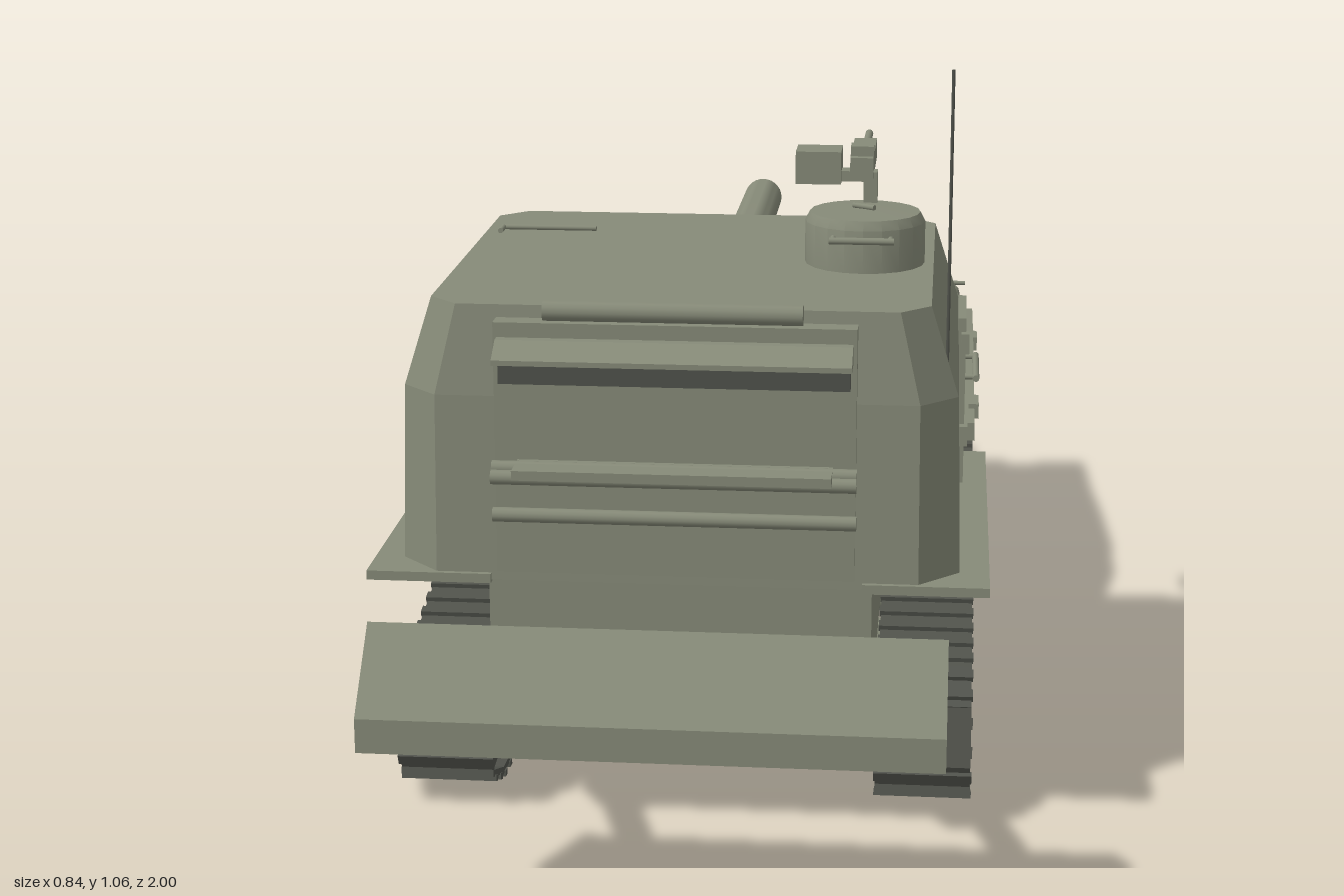
import * as THREE from 'three';
import { mergeGeometries, toCreasedNormals } from 'three/addons/utils/BufferGeometryUtils.js';

const paint = new THREE.MeshStandardMaterial({ color: 0x868a78 });
const dark = new THREE.MeshStandardMaterial({ color: 0x50524b });
const V = (x, y, z) => new THREE.Vector3(x, y, z);

export function createModel() {
  const root = new THREE.Group();
  const add = (name, geo, mat = paint, parent = root) => {
    const m = new THREE.Mesh(geo, mat);
    m.name = name;
    parent.add(m);
    return m;
  };
  // box given by its limits on each axis
  const box = (name, x0, x1, y0, y1, z0, z1, mat) =>
    add(name, new THREE.BoxGeometry(x1 - x0, y1 - y0, z1 - z0)
      .translate((x0 + x1) / 2, (y0 + y1) / 2, (z0 + z1) / 2), mat);
  // round bar between two points
  const rod = (name, a, b, r, mat, sides = 12) => {
    const d = b.clone().sub(a);
    const m = add(name, new THREE.CylinderGeometry(r, r, d.length(), sides), mat);
    m.position.copy(a).add(b).multiplyScalar(0.5);
    m.quaternion.setFromUnitVectors(V(0, 1, 0), d.normalize());
    return m;
  };
  // side profile of [z, y] points, extruded from x0 to x1
  const slab = (name, pts, x0, x1, mat) => {
    const g = new THREE.ExtrudeGeometry(new THREE.Shape(pts.map(p => new THREE.Vector2(...p))),
      { depth: x1 - x0, bevelEnabled: false });
    return add(name, g.rotateY(-Math.PI / 2).translate(x1, 0, 0), mat);
  };
  // closed body through chamfered rectangles [y, halfWidth, zFront, zRear, chamfer]
  const loft = (name, levels) => {
    const rings = levels.map(([y, x, f, r, c]) => [[x, r - c], [x, f + c], [x - c, f], [c - x, f],
      [-x, f + c], [-x, r - c], [c - x, r], [x - c, r]].map(([px, pz]) => V(px, y, pz)));
    const tri = [];
    for (let k = 0; k + 1 < rings.length; k++) {
      for (let i = 0; i < 8; i++) {
        const j = (i + 1) % 8, lo = rings[k], hi = rings[k + 1];
        tri.push(lo[i], lo[j], hi[j], lo[i], hi[j], hi[i]);
      }
    }
    const top = rings[rings.length - 1], bot = rings[0];
    for (let i = 1; i < 7; i++) tri.push(top[0], top[i], top[i + 1], bot[0], bot[i + 1], bot[i]);
    const g = new THREE.BufferGeometry().setFromPoints(tri);
    g.computeVertexNormals();
    return add(name, g);
  };
  const lathe = (pts, sides = 28) => toCreasedNormals(
    new THREE.LatheGeometry(pts.map(p => new THREE.Vector2(...p)), sides), 0.5);

  // hull
  slab('hull', [[0.62, 0.375], [0.62, 0.2], [0.6, 0.17], [-0.88, 0.17], [-0.94, 0.22], [-0.965, 0.39],
    [-0.93, 0.41], [-0.5, 0.455], [-0.27, 0.455], [-0.06, 0.375]], -0.262, 0.262);
  loft('hullBottom', [[0.125, 0.215, -0.66, 0.56, 0.01], [0.172, 0.25, -0.88, 0.6, 0.01]]);
  box('rearHullPanel', -0.21, 0.21, 0.13, 0.21, 0.56, 0.625, dark);

  // engine deck with hatches and grilles
  slab('engineCover', [[-0.3, 0.45], [-0.72, 0.425], [-0.71, 0.45], [-0.46, 0.475], [-0.3, 0.47]], -0.12, 0.12);
  slab('centreHatch', [[-0.45, 0.46], [-0.65, 0.45], [-0.65, 0.465], [-0.45, 0.484]], -0.115, 0.115);
  for (const s of [-1, 1]) {
    const cx = s * 0.205;
    slab('deckPanel', [[-0.28, 0.45], [-0.72, 0.42], [-0.72, 0.438], [-0.5, 0.467], [-0.28, 0.467]],
      cx - 0.065, cx + 0.065);
    for (let i = 0; i < 10; i++) {
      const z = -0.42 - i * 0.02, y = z > -0.5 ? 0.47 : 0.47 + (z + 0.5) * 0.12;
      box('grilleSlat', cx - 0.055, cx + 0.055, y - 0.006, y + 0.005, z - 0.005, z + 0.005, dark);
    }
    rod('deckRail', V(s * 0.235, 0.485, -0.3), V(s * 0.235, 0.485, -0.41), 0.004);
    slab('frontDeckPanel', [[-0.74, 0.42], [-0.92, 0.405], [-0.92, 0.418], [-0.74, 0.437]],
      s * 0.165 - 0.05, s * 0.165 + 0.05);
  }

  // fenders, stowage boxes and lamps
  for (const s of [-1, 1]) {
    const span = (a, b) => (s > 0 ? [a, b] : [-b, -a]);
    box('rearFender', ...span(0.25, 0.42), 0.372, 0.385, 0.035, 0.675);
    slab('frontFender', [[-0.16, 0.345], [-0.97, 0.345], [-0.97, 0.375], [-0.72, 0.39], [-0.16, 0.375]],
      ...span(0.27, 0.405));
    slab('stowageBox', [[-0.05, 0.372], [-0.72, 0.372], [-0.725, 0.425], [-0.45, 0.448], [-0.27, 0.44]],
      ...span(0.262, 0.385));
    slab('fenderNose', [[-0.74, 0.38], [-0.965, 0.37], [-0.965, 0.395], [-0.74, 0.412]], ...span(0.28, 0.39));
    rod('towBar', V(s * 0.33, 0.455, -0.3), V(s * 0.33, 0.44, -0.66), 0.007);
    box('fenderBracket', ...span(0.395, 0.412), 0.36, 0.385, -0.75, -0.7);
    box('fenderBracket', ...span(0.395, 0.412), 0.36, 0.385, -0.3, -0.24);
    for (const x of [0.31, 0.36]) {
      rod('headlamp', V(s * x, 0.405, -0.92), V(s * x, 0.405, -0.968), 0.02);
    }
    rod('lampGuard', V(s * 0.28, 0.43, -0.95), V(s * 0.39, 0.43, -0.95), 0.004);
  }

  // nose plate and travel-lock frame
  box('noseRail', -0.22, 0.22, 0.375, 0.41, -0.97, -0.945, dark);
  for (const s of [-1, 1]) {
    rod('noseFrameBar', V(s * 0.07, 0.4, -0.99), V(s * 0.07, 0.2, -0.95), 0.008);
    rod('noseFrameStay', V(s * 0.07, 0.4, -0.99), V(s * 0.07, 0.4, -0.95), 0.007);
  }
  rod('noseFrameTop', V(-0.075, 0.4, -0.99), V(0.075, 0.4, -0.99), 0.009);

  // tracks: shoes spaced along a closed path in z, y
  const loop = [[0.33, 0.014], [-0.62, 0.014], [-0.71, 0.04], [-0.92, 0.195], [-0.948, 0.26], [-0.925, 0.315],
    [-0.86, 0.336], [-0.5, 0.328], [-0.1, 0.305], [0.1, 0.284], [0.5, 0.2], [0.575, 0.17], [0.598, 0.11],
    [0.57, 0.05], [0.5, 0.024]];
  const path = new THREE.CurvePath();
  loop.forEach((p, i) => {
    const q = loop[(i + 1) % loop.length];
    path.add(new THREE.LineCurve3(V(0, p[1], p[0]), V(0, q[1], q[0])));
  });
  const count = 84, pitch = path.getLength() / count, shoes = [];
  for (let i = 0; i < count; i++) {
    const p = path.getPointAt(i / count), t = path.getTangentAt(i / count);
    for (const [w, h, l, off] of [[0.132, 0.01, pitch * 1.08, 0], [0.136, 0.009, pitch * 0.4, -0.007]]) {
      shoes.push(new THREE.BoxGeometry(w, h, l).translate(0, off, 0)
        .rotateX(Math.atan2(t.y, -t.z)).translate(0, p.y, p.z));
    }
  }
  const trackGeo = mergeGeometries(shoes);

  // double wheel, axis along y, outer face at +y
  const wheelGeo = R => lathe([[0, -0.055], [R * 0.86, -0.055], [R * 0.86, -0.012], [R * 0.5, -0.012],
    [R * 0.5, 0.012], [R * 0.86, 0.012], [R * 0.86, 0.05], [R * 0.76, 0.038], [R * 0.45, 0.034],
    [R * 0.4, 0.052], [R * 0.25, 0.052], [R * 0.22, 0.064], [0, 0.064]]);
  const tyreGeo = (R, y) => lathe([[R * 0.83, y - 0.021], [R, y - 0.021], [R, y + 0.021],
    [R * 0.83, y + 0.021], [R * 0.83, y - 0.021]]);
  const wheels = [0.51, 0.32, 0.135, -0.052, -0.24, -0.43, -0.62].map(z => ['roadWheel', z, 0.113, 0.078]);
  wheels.push(['driveSprocket', -0.865, 0.26, 0.074],
    ...[[0.04, 0.254], [-0.145, 0.26], [-0.52, 0.274]].map(([z, y]) => ['returnRoller', z, y, 0.038]));
  for (const s of [-1, 1]) {
    add('track', trackGeo, dark).position.x = s * 0.335;
    for (const [name, z, y, R] of wheels) {
      const g = new THREE.Group();
      g.name = name;
      g.position.set(s * 0.335, y, z);
      g.rotation.z = -s * Math.PI / 2;
      add(name + 'Disc', wheelGeo(R), paint, g);
      for (const o of [-0.034, 0.034]) add(name + 'Rim', tyreGeo(R, o), dark, g);
      root.add(g);
      rod('axle', V(s * 0.24, y, z), V(s * 0.33, y, z), R * 0.35);
    }
  }

  // turret house with sloped front and bevelled shoulders
  loft('turret', [[0.375, 0.38, -0.08, 0.668, 0.055], [0.63, 0.373, -0.014, 0.66, 0.05],
    [0.752, 0.335, 0.018, 0.645, 0.04]]);
  for (const s of [-1, 1]) {
    box('sideDoor', s * 0.378 - 0.006, s * 0.378 + 0.006, 0.4, 0.65, 0.1, 0.25);
    rod('doorHandle', V(s * 0.4, 0.557, 0.1), V(s * 0.4, 0.557, 0.24), 0.005);
    for (const z of [0.11, 0.23]) rod('handleStub', V(s * 0.375, 0.557, z), V(s * 0.4, 0.557, z), 0.004);
    for (const y of [0.46, 0.6]) box('doorHinge', s * 0.383 - 0.006, s * 0.383 + 0.006, y, y + 0.03, 0.245, 0.265);
  }
  rod('roofHandle', V(-0.31, 0.758, 0.17), V(-0.17, 0.758, 0.17), 0.004);
  rod('roofHandle', V(-0.31, 0.758, 0.17), V(-0.31, 0.758, 0.2), 0.004);

  // rear door, canopy rolls and rails
  box('rearDoor', -0.24, 0.24, 0.39, 0.735, 0.64, 0.676);
  rod('canopyRoll', V(-0.17, 0.756, 0.69), V(0.17, 0.756, 0.69), 0.014);
  slab('visor', [[0.66, 0.715], [0.69, 0.715], [0.722, 0.695], [0.722, 0.688], [0.66, 0.688]], -0.235, 0.235);
  box('visorRecess', -0.232, 0.232, 0.655, 0.69, 0.66, 0.69, dark);
  for (const [y, z] of [[0.54, 0.69], [0.53, 0.7], [0.475, 0.69]]) {
    rod('rearRail', V(-0.242, y, z), V(0.242, y, z), 0.01);
  }
  box('rearStep', -0.21, 0.21, 0.535, 0.548, 0.67, 0.73);

  // gun mantlet, recoil cylinders and barrel
  slab('mantlet', [[0.02, 0.5], [-0.15, 0.525], [-0.165, 0.56], [-0.165, 0.68], [-0.15, 0.695], [0.02, 0.695]],
    -0.085, 0.085);
  for (const s of [-1, 1]) {
    rod('recoilCylinder', V(s * 0.064, 0.675, 0), V(s * 0.064, 0.675, -0.175), 0.024, paint, 18);
  }
  add('barrel', lathe([[0, 0], [0.06, 0], [0.057, 0.05], [0.046, 0.15], [0.038, 0.26], [0.036, 0.45],
    [0.035, 0.8], [0.024, 0.8], [0.022, 0.7], [0, 0.7]]).rotateX(-Math.PI / 2).translate(0, 0.592, -0.15));

  // commander's cupola and machine gun
  add('cupola', lathe([[0.085, 0], [0.085, 0.062], [0.078, 0.075], [0, 0.077]], 20).translate(0.237, 0.75, 0.335));
  rod('cupolaHandle', V(0.19, 0.8, 0.428), V(0.28, 0.8, 0.428), 0.005);
  for (const x of [0.195, 0.275]) rod('cupolaHandleStub', V(x, 0.8, 0.4), V(x, 0.8, 0.428), 0.004);
  rod('cupolaHatchGrip', V(0.22, 0.83, 0.32), V(0.25, 0.83, 0.34), 0.004);
  box('gunPost', 0.232, 0.252, 0.815, 0.87, 0.255, 0.28);
  box('gunReceiver', 0.213, 0.246, 0.862, 0.892, 0.12, 0.29);
  box('gunGrip', 0.213, 0.246, 0.87, 0.906, 0.24, 0.275);
  box('ammoBox', 0.135, 0.2, 0.853, 0.9, 0.23, 0.29);
  box('ammoTray', 0.195, 0.24, 0.855, 0.87, 0.245, 0.275);
  rod('gunBarrel', V(0.23, 0.878, 0.13), V(0.23, 0.874, -0.03), 0.006);

  // antenna
  rod('antenna', V(0.357, 0.66, 0.6), V(0.357, 1.065, 0.6), 0.0025, dark, 6);

  // rear spade with its arms
  slab('spade', [[1.0, 0.26], [1.0, 0.305], [0.91, 0.4], [0.86, 0.37], [0.95, 0.265]], -0.366, 0.366);
  for (const s of [-1, 1]) {
    rod('spadeArm', V(s * 0.258, 0.335, 0.89), V(s * 0.258, 0.235, 0.62), 0.021, paint, 16);
    slab('armBracket', [[0.72, 0.24], [0.6, 0.16], [0.58, 0.2], [0.6, 0.27], [0.7, 0.275]],
      s * 0.235 - 0.015, s * 0.235 + 0.015);
  }
  return root;
}
